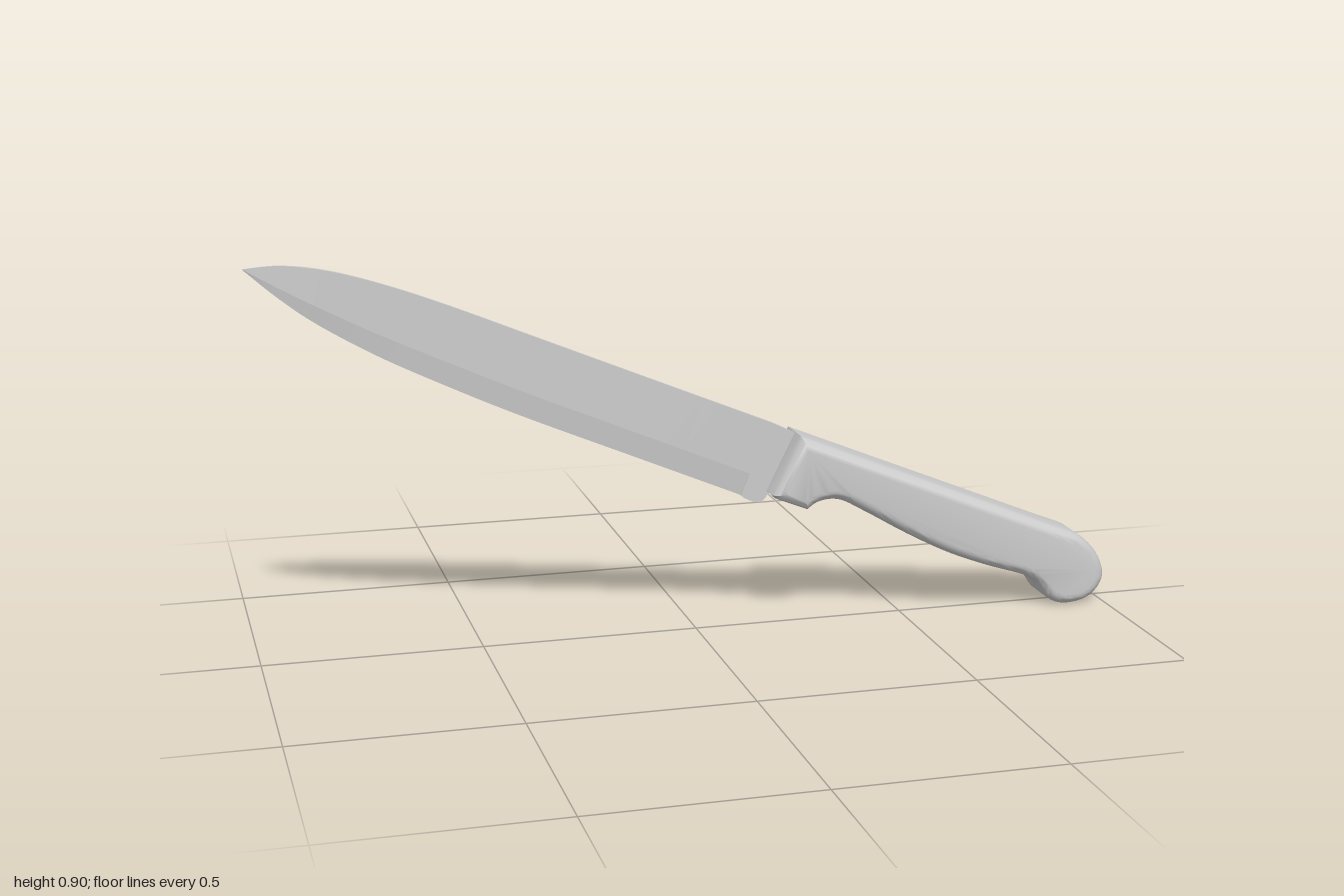
import * as THREE from 'three';
import { toCreasedNormals } from 'three/addons/utils/BufferGeometryUtils.js';

const V = (x, y) => new THREE.Vector2(x, y);
const spline = (pts, n) => new THREE.SplineCurve(pts.map(p => V(...p))).getPoints(n);
const material = () => new THREE.MeshStandardMaterial({ color: 0xcccccc, side: THREE.DoubleSide });

const HALF = 0.006; // half thickness of the steel

function part(name, geometry, crease) {
  const mesh = new THREE.Mesh(toCreasedNormals(geometry, crease), material());
  mesh.name = name;
  return mesh;
}

// Blade: five-point sections (spine, grind line, cutting edge) swept heel to tip
function bladeGeometry() {
  const n = 56;
  const spine = spline([[0.18, 0.485], [-0.1, 0.602], [-0.35, 0.707], [-0.56, 0.795],
    [-0.7, 0.848], [-0.82, 0.884], [-0.92, 0.899], [-1, 0.895]], n);
  const edge = spline([[0.105, 0.318], [-0.16, 0.432], [-0.41, 0.54], [-0.6, 0.63],
    [-0.73, 0.697], [-0.85, 0.77], [-0.93, 0.831], [-1, 0.894]], n);
  const pos = [], index = [];
  for (let i = 0; i <= n; i++) {
    const s = spine[i], e = edge[i], g = e.clone().lerp(s, 0.3);
    const t = HALF * Math.min(1, 0.1 + (n - i) / (n * 0.3));
    pos.push(s.x, s.y, t, g.x, g.y, t, e.x, e.y, 0, g.x, g.y, -t, s.x, s.y, -t);
    if (i === n) continue;
    for (let j = 0; j < 5; j++) {
      const k = (j + 1) % 5, a = i * 5 + j, b = i * 5 + k;
      index.push(a, a + 5, b + 5, a, b + 5, b);
    }
  }
  const geo = new THREE.BufferGeometry();
  geo.setAttribute('position', new THREE.Float32BufferAttribute(pos, 3));
  geo.setIndex(index);
  geo.computeVertexNormals();
  return geo;
}

// Unground heel of the blade, running into the handle
function heelGeometry() {
  const shape = new THREE.Shape([
    V(0.18, 0.485), V(0.105, 0.318),
    ...spline([[0.115, 0.31], [0.14, 0.299], [0.16, 0.303], [0.172, 0.32]], 12),
    V(0.2, 0.35), V(0.3, 0.4), V(0.27, 0.44)]);
  const geo = new THREE.ExtrudeGeometry(shape, { depth: HALF * 2, bevelEnabled: false });
  return geo.translate(0, 0, -HALF);
}

// Handle: side outline with finger guard and hooked butt, softly rounded
function handleGeometry() {
  const belly = spline([[0.252, 0.285], [0.28, 0.302], [0.33, 0.303], [0.4, 0.266], [0.5, 0.207],
    [0.6, 0.155], [0.7, 0.115], [0.79, 0.085], [0.83, 0.06], [0.86, 0.02], [0.9, 0.004],
    [0.95, 0.01], [0.985, 0.035], [1, 0.075], [0.98, 0.127], [0.935, 0.172], [0.87, 0.2]], 72);
  const shape = new THREE.Shape([V(0.235, 0.461), V(0.167, 0.325), V(0.176, 0.316), ...belly]);
  const round = 0.025;
  const geo = new THREE.ExtrudeGeometry(shape, {
    depth: 0.084, bevelThickness: 0.029, bevelSize: round, bevelOffset: -round, bevelSegments: 6,
  });
  return geo.translate(0, 0, -0.042);
}

export function createModel() {
  const knife = new THREE.Group();
  knife.name = 'knife';
  knife.add(
    part('blade', bladeGeometry(), 0.02),
    part('bladeHeel', heelGeometry(), 0.5),
    part('handle', handleGeometry(), 0.7),
  );
  return knife;
}
